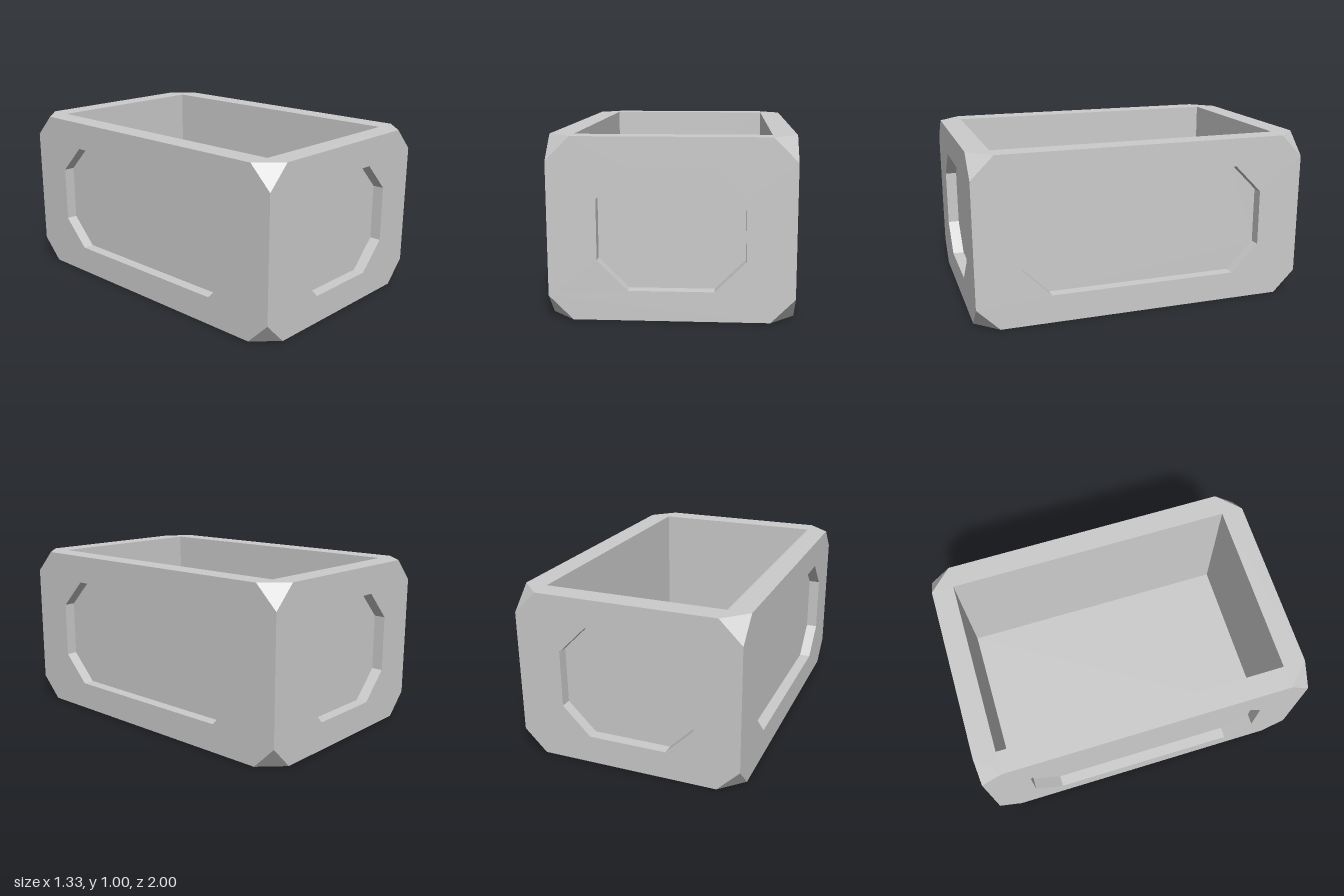
import * as THREE from 'three';
import { mergeGeometries } from 'three/addons/utils/BufferGeometryUtils.js';

const W = 4 / 3, H = 1, L = 2;   // overall width, height, length
const CUT = 2 / 15;              // corner cut, also the wall thickness
const RECESS = 1 / 15;           // depth of the side panels

// Counter-clockwise rectangle outline with its corners cut by c
function outline(w, h, c) {
  const x = w / 2, y = h / 2;
  const pts = c === 0
    ? [[-x, -y], [x, -y], [x, y], [-x, y]]
    : [[-x + c, -y], [x - c, -y], [x, -y + c], [x, y - c],
       [x - c, y], [-x + c, y], [-x, y - c], [-x, -y + c]];
  return pts.map(p => new THREE.Vector2(...p));
}

// Walls running inward from a hole's outline
function holeWalls(pts, depth) {
  const pos = [];
  pts.forEach((a, i) => {
    const b = pts[(i + 1) % pts.length];
    pos.push(a.x, a.y, 0, b.x, b.y, 0, b.x, b.y, -depth);
    pos.push(a.x, a.y, 0, b.x, b.y, -depth, a.x, a.y, -depth);
  });
  return new THREE.BufferGeometry().setAttribute('position', new THREE.Float32BufferAttribute(pos, 3));
}

// Flat face with cut corners and an optional sunken hole, facing +z
function faceGeometry(w, h, hole, depth) {
  const face = new THREE.Shape(outline(w, h, CUT));
  const flat = [];
  if (hole) {
    face.holes.push(new THREE.Path(hole));
    flat.push(new THREE.ShapeGeometry(new THREE.Shape(hole)).translate(0, 0, -depth));
  }
  flat.push(new THREE.ShapeGeometry(face));
  const parts = flat.map(g => g.toNonIndexed().deleteAttribute('uv').deleteAttribute('normal'));
  if (hole) parts.push(holeWalls(hole, depth));
  const geo = mergeGeometries(parts);
  geo.computeVertexNormals();
  return geo;
}

// One small triangle on each of the eight corners
function cornerGeometry() {
  const pos = [], X = W / 2, Y = H / 2, Z = L / 2;
  for (const sx of [-1, 1]) for (const sy of [-1, 1]) for (const sz of [-1, 1]) {
    const tri = [[X - CUT, Y, Z], [X, Y - CUT, Z], [X, Y, Z - CUT]];
    if (sx * sy * sz < 0) tri.reverse();
    for (const [x, y, z] of tri) pos.push(sx * x, sy * y + H / 2, sz * z);
  }
  const geo = new THREE.BufferGeometry();
  geo.setAttribute('position', new THREE.Float32BufferAttribute(pos, 3));
  geo.computeVertexNormals();
  return geo;
}

export function createModel() {
  const group = new THREE.Group();
  group.name = 'openBox';
  const material = new THREE.MeshStandardMaterial({ color: 0xcccccc, flatShading: true });
  const add = (name, geo) => {
    const mesh = new THREE.Mesh(geo, material);
    mesh.name = name;
    group.add(mesh);
    return mesh;
  };

  // Four walls with sunken octagonal panels
  const end = faceGeometry(W, H, outline(0.8, 2 / 3, 1 / 6), RECESS);
  const side = faceGeometry(L, H, outline(22 / 15, 2 / 3, 1 / 6), RECESS);
  ['frontWall', 'leftWall', 'backWall', 'rightWall'].forEach((name, i) => {
    const isEnd = i % 2 === 0, angle = i * Math.PI / 2;
    const wall = add(name, isEnd ? end : side);
    wall.rotation.y = angle;
    const d = isEnd ? L / 2 : W / 2;
    wall.position.set(Math.sin(angle) * d, H / 2, Math.cos(angle) * d);
  });

  // Top rim with the deep cavity, and the plain underside
  const rim = add('rimAndCavity', faceGeometry(W, L, outline(W - 2 * CUT, L - 2 * CUT, 0), H - CUT));
  rim.rotation.x = -Math.PI / 2;
  rim.position.y = H;
  add('underside', faceGeometry(W, L)).rotation.x = Math.PI / 2;

  add('cutCorners', cornerGeometry());
  return group;
}
